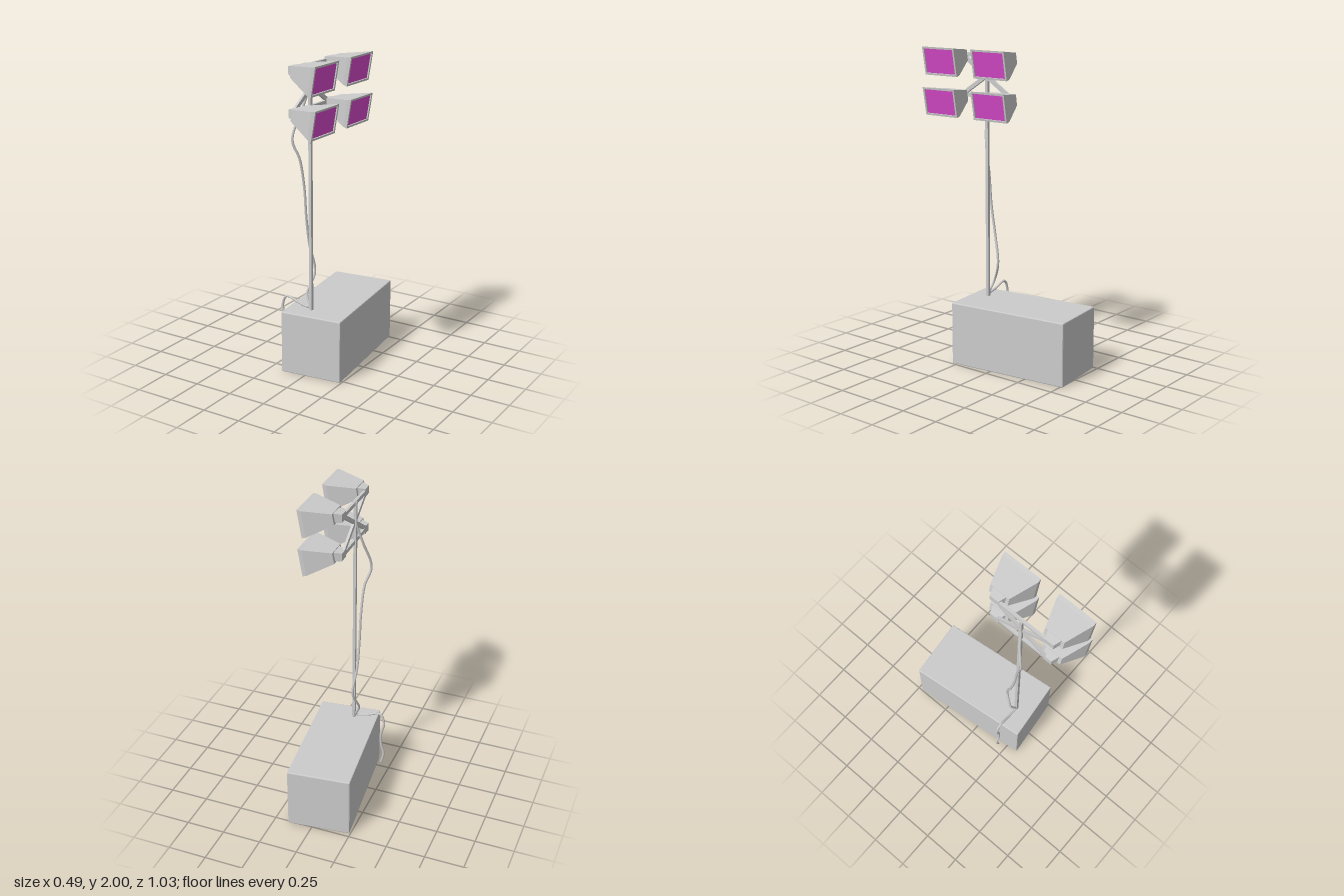
import * as THREE from 'three';
import { RoundedBoxGeometry } from 'three/addons/geometries/RoundedBoxGeometry.js';

const grey = new THREE.MeshStandardMaterial({ color: 0xcccccc });
const greyFlat = new THREE.MeshStandardMaterial({ color: 0xcccccc, flatShading: true });
const lensMaterial = new THREE.MeshStandardMaterial({ color: 0xda4acc });

const POLE_Z = 0.197;
const BAR_Y = [1.945, 1.695];
const LAMP_DZ = 0.193;

function addMesh(parent, name, geometry, material) {
  const mesh = new THREE.Mesh(geometry, material);
  mesh.name = name;
  parent.add(mesh);
  return mesh;
}

// Lofts rectangular sections along +x: [xTop, yTop, xBottom, yBottom, halfWidth]
function loft(sections, { startCap = true, endCap = true } = {}) {
  const rings = sections.map(([xt, yt, xb, yb, w]) => [
    [xt, yt, -w], [xt, yt, w], [xb, yb, w], [xb, yb, -w],
  ]);
  const pos = [];
  const quad = (a, b, c, d) => pos.push(...a, ...b, ...c, ...a, ...c, ...d);
  for (let s = 0; s < rings.length - 1; s++) {
    const a = rings[s], b = rings[s + 1];
    for (let i = 0; i < 4; i++) {
      const j = (i + 1) % 4;
      quad(a[i], a[j], b[j], b[i]);
    }
  }
  if (startCap) quad(...[...rings[0]].reverse());
  if (endCap) quad(...rings[rings.length - 1]);
  const geometry = new THREE.BufferGeometry();
  geometry.setAttribute('position', new THREE.Float32BufferAttribute(pos, 3));
  geometry.computeVertexNormals();
  return geometry;
}

// Floodlight facing +x, tilted downwards, origin on its mounting bar
function createLamp() {
  const lamp = new THREE.Group();
  lamp.name = 'lamp';

  addMesh(lamp, 'lampNeck', loft([
    [-0.018, 0.024, -0.018, -0.026, 0.031],
    [-0.004, 0.026, -0.006, -0.028, 0.035],
    [0.030, 0.030, 0.022, -0.024, 0.047],
  ]), greyFlat);

  // Housing widens to a rim, then folds in to a shallow recess
  const recess = [0.215, 0.042, 0.189, -0.107, 0.115];
  addMesh(lamp, 'lampHousing', loft([
    [0.030, 0.034, 0.018, -0.034, 0.067],
    [0.200, 0.051, 0.170, -0.112, 0.127],
    [0.225, 0.055, 0.195, -0.120, 0.127],
    [0.223, 0.043, 0.197, -0.108, 0.115],
    recess,
  ], { endCap: false }), greyFlat);

  addMesh(lamp, 'lampLens', loft([
    [0.205, 0.042, 0.179, -0.107, 0.115],
    recess,
  ]), lensMaterial);
  return lamp;
}

export function createModel() {
  const model = new THREE.Group();
  model.name = 'floodlightMast';

  // Base block, turned slightly about the vertical
  const base = addMesh(model, 'base', new RoundedBoxGeometry(0.404, 0.405, 0.804, 1, 0.006), greyFlat);
  base.position.set(0, 0.2025, -0.096);
  base.rotation.y = 0.11;

  // Mast
  const mast = addMesh(model, 'mast', new THREE.BoxGeometry(0.018, 1.56, 0.02), grey);
  mast.position.set(-0.016, 1.175, POLE_Z);

  // Lamp frame: two horizontal bars and a diagonal cross
  const frame = new THREE.Group();
  frame.name = 'lampFrame';
  model.add(frame);
  for (const y of BAR_Y) {
    const bar = addMesh(frame, 'crossbar', new THREE.BoxGeometry(0.018, 0.025, 2 * LAMP_DZ), grey);
    bar.position.set(-0.009, y, POLE_Z);
  }
  const rise = BAR_Y[0] - BAR_Y[1], run = 2 * LAMP_DZ;
  for (const side of [-1, 1]) {
    const brace = addMesh(frame, 'diagonalBrace', new THREE.BoxGeometry(0.016, 0.025, Math.hypot(rise, run)), grey);
    brace.position.set(-0.009, (BAR_Y[0] + BAR_Y[1]) / 2, POLE_Z);
    brace.rotation.x = side * Math.atan2(rise, run);
  }

  // Four lamps
  for (const y of BAR_Y) {
    for (const side of [-1, 1]) {
      const lamp = createLamp();
      lamp.position.set(0, y, POLE_Z + side * LAMP_DZ);
      model.add(lamp);
    }
  }

  // Slack cable down the mast, across the base and over its side
  const path = [
    [-0.018, 1.81, 0.20], [-0.055, 1.68, 0.225], [-0.095, 1.50, 0.272],
    [-0.062, 1.38, 0.245], [-0.052, 1.20, 0.213], [-0.050, 1.00, 0.195],
    [-0.048, 0.82, 0.165], [-0.032, 0.63, 0.128], [-0.058, 0.50, 0.180],
    [-0.030, 0.425, 0.20], [-0.100, 0.435, 0.203], [-0.195, 0.462, 0.205],
    [-0.225, 0.400, 0.205], [-0.206, 0.300, 0.205], [-0.208, 0.220, 0.205],
    [-0.226, 0.150, 0.205], [-0.212, 0.075, 0.205],
  ].map((p) => new THREE.Vector3(...p));
  const cable = new THREE.CatmullRomCurve3(path);
  addMesh(model, 'cable', new THREE.TubeGeometry(cable, 140, 0.008, 8), grey);
  // Cable ends
  for (const end of [path[0], path[path.length - 1]]) {
    addMesh(model, 'cableEnd', new THREE.SphereGeometry(0.008, 8, 6), grey).position.copy(end);
  }

  return model;
}
